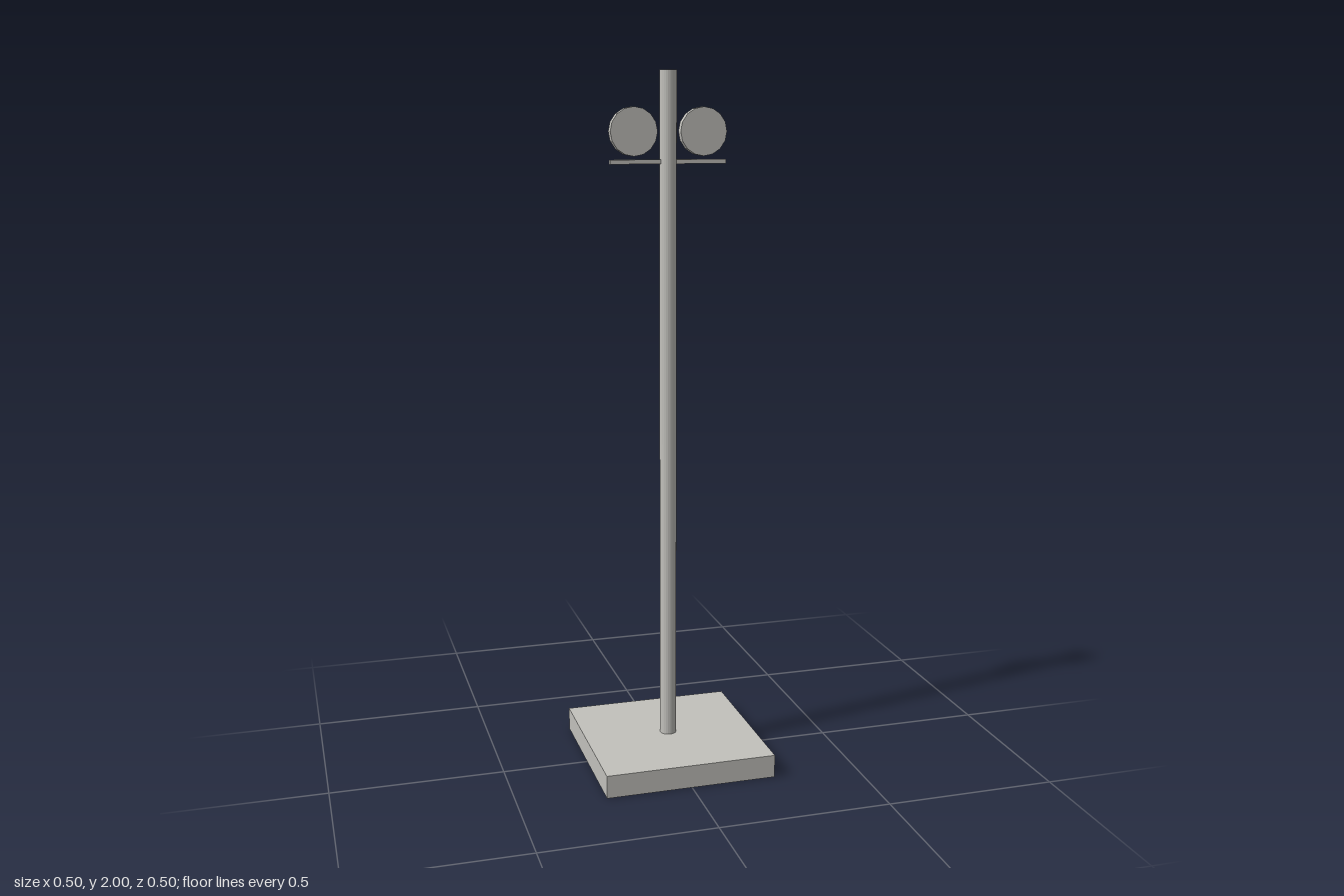
import * as THREE from 'three';

export function createModel() {
  const group = new THREE.Group();
  const stone = new THREE.MeshStandardMaterial({ color: 0xc2c1bc });
  stone.name = 'warm grey';
  stone.flatShading = true;

  const add = (name, geometry, x, y, z = 0) => {
    const mesh = new THREE.Mesh(geometry, stone);
    mesh.name = name;
    mesh.position.set(x, y, z);
    group.add(mesh);
    return mesh;
  };

  // Square foot and round pole
  add('base', new THREE.BoxGeometry(0.5, 0.067, 0.5), 0, 0.0335);
  add('pole', new THREE.CylinderGeometry(0.024, 0.024, 1.933, 24), 0, 1.0335);

  // Thin bar across the pole, below the discs
  add('crossbar', new THREE.BoxGeometry(0.333, 0.012, 0.016), 0, 1.753);

  // Upright discs facing front and back, one on each side
  for (const side of [1, -1]) {
    const disc = new THREE.CylinderGeometry(0.067, 0.067, 0.024, 16).rotateX(Math.PI / 2);
    add(side > 0 ? 'leftDisc' : 'rightDisc', disc, side * 0.1, 1.835);
  }

  return group;
}
